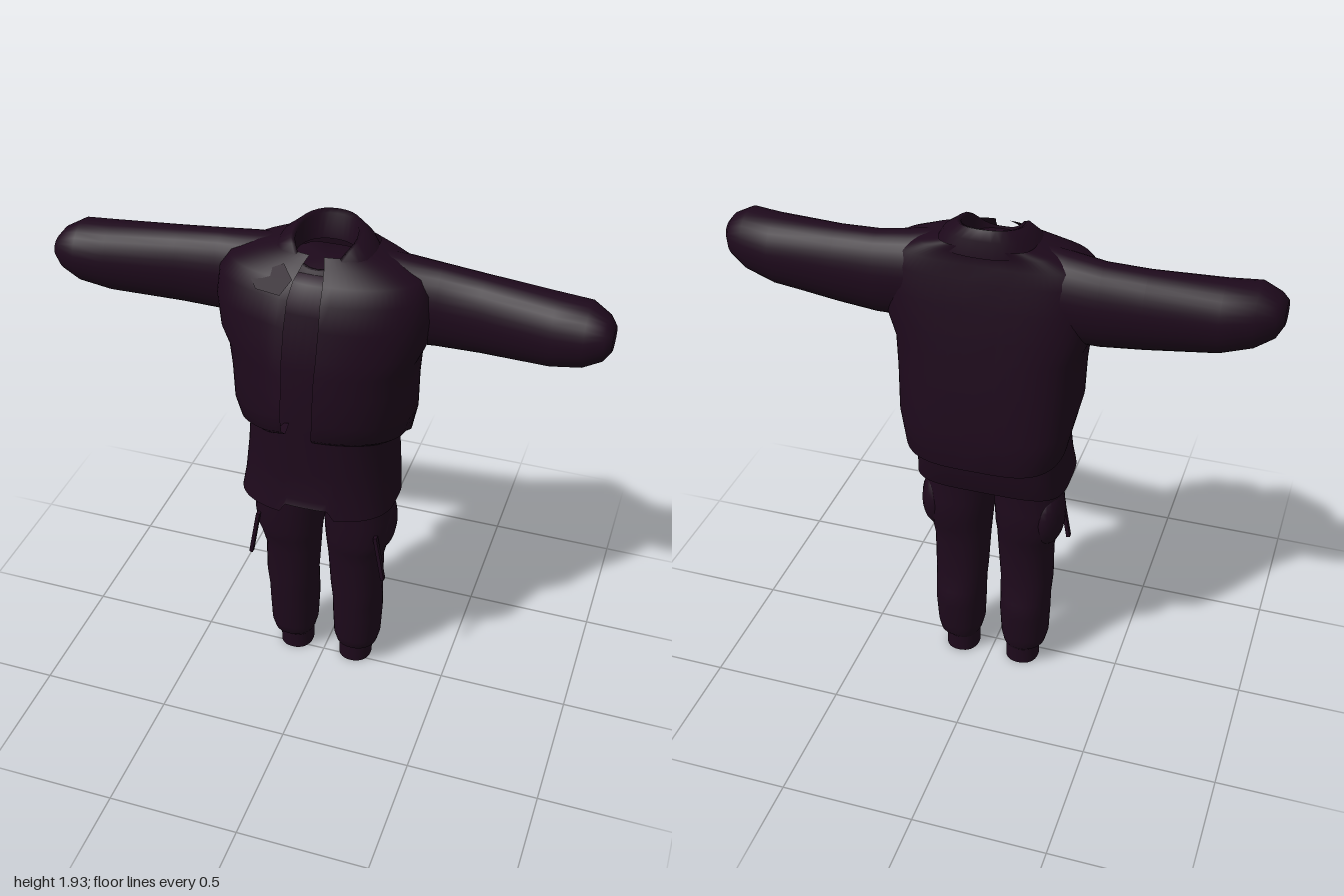
import * as THREE from 'three';

const cloth = new THREE.MeshStandardMaterial({ color: 0x1d091b, side: THREE.DoubleSide });
cloth.name = 'dark plum cloth';

// Skin over rings [y, x0, x1, zBack, zFront, tilt]; tilt raises y with z.
// The angle starts at the front (+z) and runs towards +x; a lower power is boxier.
function loft(name, rings, {
  n = 32, from = 0, to = Math.PI * 2, cap = false, power = 0.9, backPower = power, bend = p => p,
} = {}) {
  const closed = to - from > 6.28;
  const cols = closed ? n : n + 1;
  const pos = [], index = [];
  for (const [y, x0, x1, zb, zf, tilt = 0] of rings) {
    for (let j = 0; j < cols; j++) {
      const a = from + (to - from) * j / n;
      const k = Math.cos(a) < 0 ? backPower : power;
      const soft = v => Math.sign(v) * Math.abs(v) ** k;
      const x = (x0 + x1) / 2 + (x1 - x0) / 2 * soft(Math.sin(a));
      const z = (zb + zf) / 2 + (zf - zb) / 2 * soft(Math.cos(a));
      const p = bend(new THREE.Vector3(x, y + tilt * z, z), a, y);
      pos.push(p.x, p.y, p.z);
    }
  }
  for (let i = 0; i < rings.length - 1; i++) {
    for (let j = 0; j < n; j++) {
      const k = (j + 1) % cols;
      const a = i * cols + j, b = i * cols + k, c = b + cols, d = a + cols;
      index.push(a, b, c, a, c, d);
    }
  }
  if (cap) {
    const base = (rings.length - 1) * cols, mid = new THREE.Vector3();
    for (let j = 0; j < cols; j++) mid.add(new THREE.Vector3().fromArray(pos, (base + j) * 3));
    mid.divideScalar(cols);
    const centre = pos.length / 3;
    pos.push(mid.x, mid.y, mid.z);
    for (let j = 0; j < n; j++) index.push(base + j, base + (j + 1) % cols, centre);
  }
  const g = new THREE.BufferGeometry();
  g.setAttribute('position', new THREE.Float32BufferAttribute(pos, 3));
  g.setIndex(index);
  g.computeVertexNormals();
  const m = new THREE.Mesh(g, cloth);
  m.name = name;
  return m;
}

export function createModel() {
  const model = new THREE.Group();
  model.name = 'outfit';
  const { clamp, smoothstep } = THREE.MathUtils;

  // Open jacket with a rolled hem, a boxy back and broad shoulders
  const jacket = [
    [1.19, -0.25, 0.25, -0.20, 0.20, 0.28],
    [1.145, -0.28, 0.28, -0.26, 0.23, 0.32],
    [1.16, -0.305, 0.30, -0.285, 0.25, 0.32],
    [1.24, -0.325, 0.325, -0.275, 0.26, 0.28],
    [1.38, -0.33, 0.33, -0.255, 0.25, 0.14],
    [1.48, -0.34, 0.34, -0.235, 0.24, 0.06],
    [1.55, -0.37, 0.37, -0.225, 0.23],
    [1.66, -0.385, 0.385, -0.205, 0.205],
    [1.75, -0.375, 0.375, -0.19, 0.18],
    [1.80, -0.34, 0.34, -0.175, 0.14],
    [1.84, -0.25, 0.25, -0.17, 0.09],
    [1.865, -0.17, 0.17, -0.175, 0.06],
  ];
  const rightEdge = Math.PI * 2 - 0.16;
  model.add(loft('jacketBody', jacket, {
    n: 72, from: 0.1, to: rightEdge, power: 0.92, backPower: 0.55,
    bend: (p, a, y) => {
      // back hem drops, right front edge swings forward
      p.y -= 0.03 * smoothstep(-p.z, 0.05, 0.16) * smoothstep(-y, -1.24, -1.16);
      const edge = Math.max(0, 1 - (rightEdge - a) / 0.3);
      p.z += 0.045 * edge * clamp((1.8 - y) / 0.45, 0, 1);
      p.y += 0.05 * edge * smoothstep(-y, -1.35, -1.25);
      return p;
    },
  }));

  // Stand collar, high at the back and dipping at the throat
  model.add(loft('collar', [
    [1.82, -0.20, 0.20, -0.19, 0.13, -0.1],
    [1.87, -0.165, 0.165, -0.18, 0.10, -0.15],
    [1.90, -0.12, 0.12, -0.165, 0.09, -0.2],
    [1.895, -0.105, 0.105, -0.145, 0.08, -0.2],
    [1.82, -0.11, 0.11, -0.13, 0.08, -0.1],
  ], {
    bend: p => {
      p.y -= 0.06 * smoothstep(p.z, 0.02, 0.1);
      return p;
    },
  }));

  // Folded collar point on the right
  const lapelShape = new THREE.Shape([
    [-0.09, 0.02], [-0.05, -0.03], [0.05, -0.05], [0.08, 0.01], [0.03, 0.07],
  ].map(([x, y]) => new THREE.Vector2(x, y)));
  const lapel = new THREE.Mesh(new THREE.ShapeGeometry(lapelShape), cloth);
  lapel.name = 'lapel';
  lapel.position.set(-0.14, 1.79, 0.145);
  lapel.rotation.set(-0.95, -0.25, 0);
  model.add(lapel);

  // Long undershirt with a notch at the front of the hem
  model.add(loft('undershirt', [
    [0.87, -0.29, 0.29, -0.16, 0.25, 0.09],
    [0.95, -0.28, 0.28, -0.185, 0.24, 0.03],
    [1.07, -0.27, 0.27, -0.19, 0.225],
    [1.25, -0.255, 0.255, -0.20, 0.23],
    [1.50, -0.28, 0.28, -0.19, 0.215],
    [1.70, -0.25, 0.25, -0.16, 0.18],
    [1.79, -0.16, 0.16, -0.14, 0.13],
    [1.82, -0.10, 0.10, -0.12, 0.08],
  ], {
    n: 72, cap: true, power: 0.85, backPower: 0.45,
    bend: (p, a, y) => {
      if (y < 0.9 && p.z > 0 && p.x > -0.07 && p.x < 0.1) p.y += 0.04;
      return p;
    },
  }));

  // Trouser seat
  model.add(loft('trouserSeat', [
    [0.83, -0.06, 0.06, -0.08, 0.06],
    [0.89, -0.23, 0.23, -0.14, 0.11],
    [1.15, -0.23, 0.23, -0.15, 0.13],
  ], { cap: true }));

  // Rings along the arm: [x, yBottom, yTop, zBack, zFront]
  const sleeve = [
    [0.16, 1.52, 1.86, -0.16, 0.04],
    [0.28, 1.52, 1.845, -0.18, 0.04],
    [0.40, 1.52, 1.83, -0.175, 0.02],
    [0.55, 1.53, 1.82, -0.165, 0.03],
    [0.80, 1.55, 1.81, -0.15, 0.075],
    [0.91, 1.58, 1.81, -0.13, 0.09],
    [0.975, 1.62, 1.775, -0.09, 0.07],
    [1.00, 1.665, 1.745, -0.05, 0.05],
  ];
  const leg = [
    [0.07, 0.06, 0.19, -0.11, 0.03],
    [0.09, 0.05, 0.215, -0.125, 0.05],
    [0.13, 0.04, 0.225, -0.13, 0.06],
    [0.25, 0.035, 0.23, -0.145, 0.07],
    [0.32, 0.035, 0.23, -0.14, 0.075],
    [0.40, 0.03, 0.235, -0.115, 0.08],
    [0.55, 0.02, 0.235, -0.12, 0.085],
    [0.62, 0.015, 0.25, -0.125, 0.10],
    [0.67, 0.01, 0.27, -0.14, 0.11],
    [0.76, 0.005, 0.27, -0.14, 0.11],
    [0.84, 0.00, 0.26, -0.13, 0.11],
    [1.00, 0.00, 0.24, -0.14, 0.11],
  ];
  const cuff = [
    [0.00, 0.06, 0.19, -0.11, 0.03],
    [0.10, 0.06, 0.19, -0.11, 0.03],
  ];

  for (const [side, s] of [['left', 1], ['right', -1]]) {
    const mirror = p => { p.x *= s; return p; };
    model.add(loft(side + 'Sleeve', sleeve, {
      cap: true, power: 1, bend: p => new THREE.Vector3(p.y * s, p.x, p.z),
    }));
    model.add(loft(side + 'TrouserLeg', leg, { bend: mirror }));
    model.add(loft(side + 'AnkleCuff', cuff, { bend: mirror }));

    // Cargo pocket and its hanging strap
    const pocket = new THREE.Mesh(new THREE.SphereGeometry(1, 20, 14), cloth);
    pocket.name = side + 'CargoPocket';
    pocket.scale.set(0.065, 0.13, 0.10);
    pocket.position.set(s * 0.215, 0.72, -0.03);
    model.add(pocket);
    const strap = new THREE.Mesh(new THREE.BoxGeometry(0.014, 0.2, 0.02), cloth);
    strap.name = side + 'Strap';
    strap.position.set(s * 0.25, 0.63, 0.09);
    strap.rotation.z = s * 0.17;
    model.add(strap);
  }
  return model;
}
